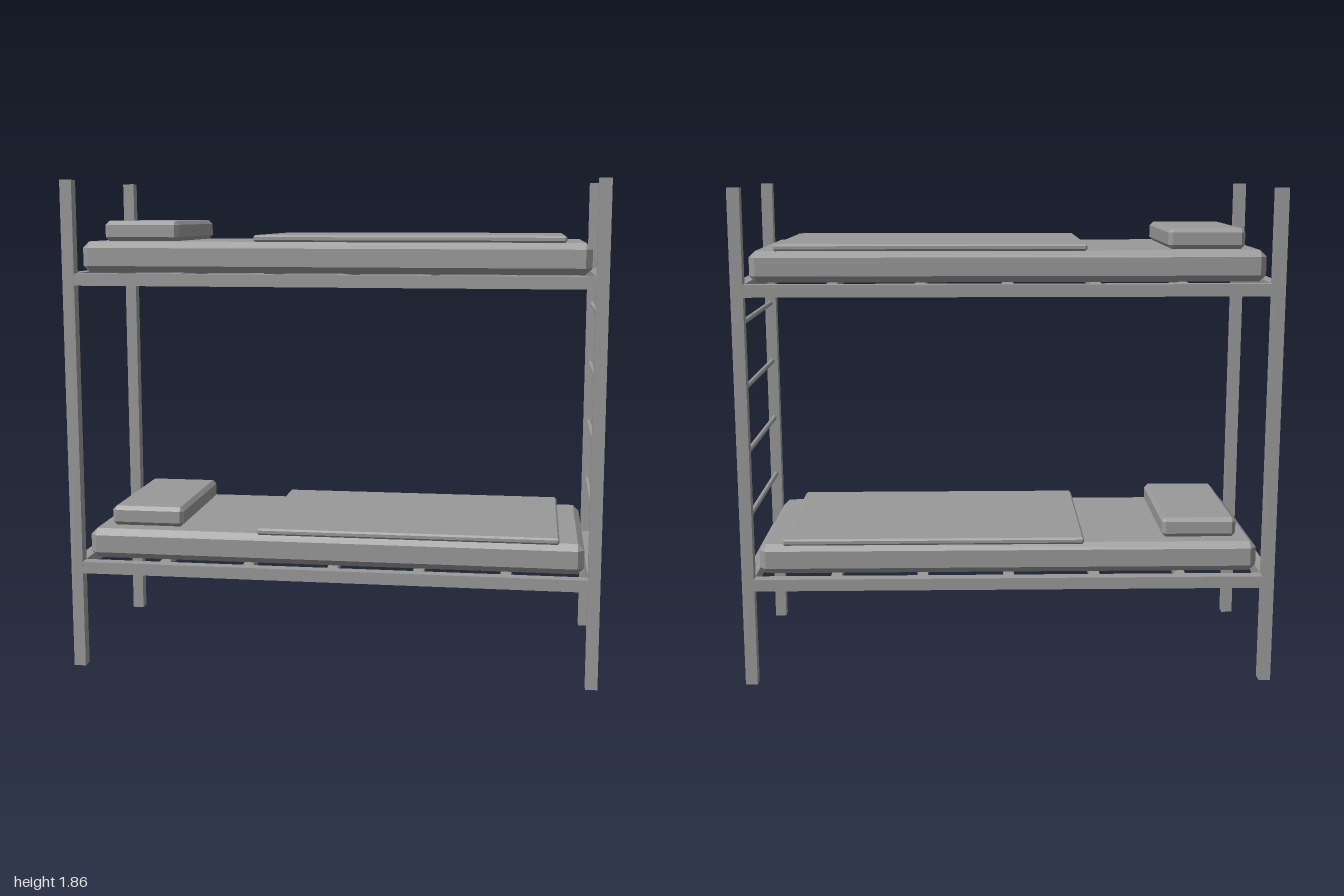
import * as THREE from 'three';
import { ConvexGeometry } from 'three/addons/geometries/ConvexGeometry.js';

const grey = new THREE.MeshStandardMaterial({ color: 0x999999 });
grey.name = 'plain grey';

function add(group, name, geometry, x, y, z) {
  const mesh = new THREE.Mesh(geometry, grey);
  mesh.name = name;
  mesh.position.set(x, y, z);
  group.add(mesh);
  return mesh;
}

// Box with every edge chamfered by c
function chamferBox(w, h, d, c) {
  const points = [];
  for (const sx of [-1, 1]) for (const sy of [-1, 1]) for (const sz of [-1, 1]) {
    for (let axis = 0; axis < 3; axis++) {
      const inset = [c, c, c];
      inset[axis] = 0;
      points.push(new THREE.Vector3(
        sx * (w / 2 - inset[0]), sy * (h / 2 - inset[1]), sz * (d / 2 - inset[2])));
    }
  }
  return new ConvexGeometry(points);
}

// One sleeping level, with y = 0 at the underside of its rails
function createBunk(name) {
  const bunk = new THREE.Group();
  bunk.name = name;
  for (const s of [-1, 1]) {
    add(bunk, 'sideRail', new THREE.BoxGeometry(1.91, 0.045, 0.045), 0, 0.0225, s * 0.39);
    add(bunk, 'endRail', new THREE.BoxGeometry(0.045, 0.045, 0.735), s * 0.9775, 0.0225, 0);
  }
  for (let i = -2; i <= 2; i++) {
    add(bunk, 'slat', new THREE.BoxGeometry(0.04, 0.02, 0.735), i * 0.328, 0.023, 0);
  }
  add(bunk, 'mattress', chamferBox(1.885, 0.115, 0.72, 0.024), 0, 0.1045, 0);
  add(bunk, 'pillow', chamferBox(0.285, 0.076, 0.57, 0.015), -0.732, 0.2, 0);
  add(bunk, 'blanket', chamferBox(1.135, 0.025, 0.736, 0.007), 0.283, 0.1745, 0);
  return bunk;
}

export function createModel() {
  const model = new THREE.Group();
  model.name = 'bunkBed';

  // Corner posts
  for (const sx of [-1, 1]) for (const sz of [-1, 1]) {
    add(model, 'post', new THREE.BoxGeometry(0.045, 1.858, 0.046), sx * 0.9775, 0.929, sz * 0.39);
  }

  // Lower and upper levels
  [['lowerBunk', 0.369], ['upperBunk', 1.47]].forEach(([name, y]) => {
    const bunk = createBunk(name);
    bunk.position.y = y;
    model.add(bunk);
  });

  // Ladder rungs between the posts at the foot end
  const rung = new THREE.CylinderGeometry(0.01, 0.01, 0.735, 12).rotateX(Math.PI / 2);
  for (let i = 0; i < 4; i++) {
    add(model, 'ladderRung', rung, 0.9775, 0.637 + i * 0.2437, 0);
  }
  return model;
}
